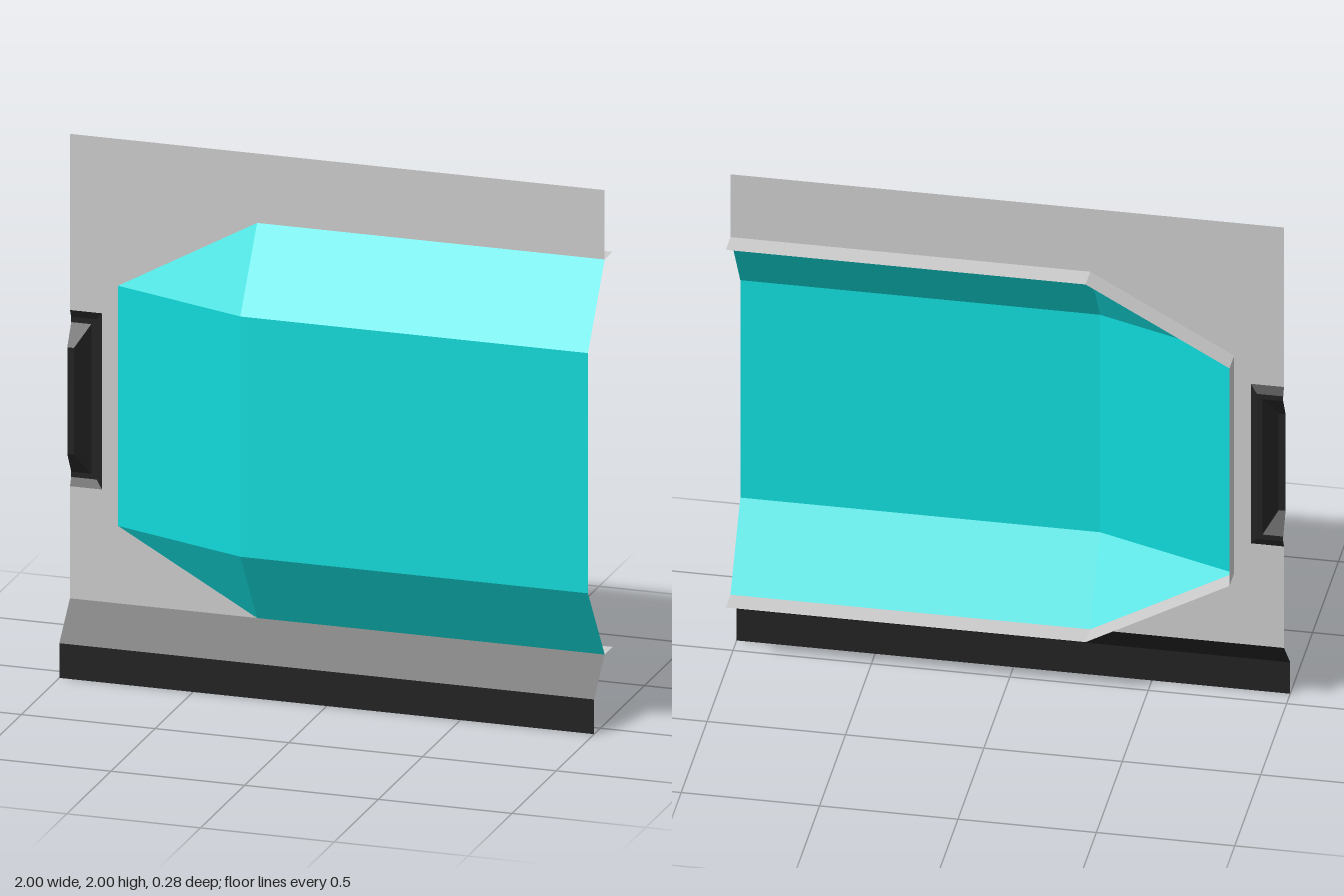
import * as THREE from 'three';

const Z = -0.05; // plane of the wall panel

const material = (color) =>
  new THREE.MeshStandardMaterial({ color, flatShading: true, side: THREE.DoubleSide });

const GREY = material(0xcccccc);
const TEAL = material(0x11dada);
const BLACK = material(0x222222);

// Mesh of flat convex faces, each a list of [x, y, z] corners
function facets(name, faces, mat) {
  const pos = [];
  for (const f of faces) {
    for (let i = 1; i < f.length - 1; i++) pos.push(...f[0], ...f[i], ...f[i + 1]);
  }
  const geo = new THREE.BufferGeometry();
  geo.setAttribute('position', new THREE.Float32BufferAttribute(pos, 3));
  geo.computeVertexNormals();
  const mesh = new THREE.Mesh(geo, mat);
  mesh.name = name;
  return mesh;
}

// Quads joining two rows of points
function strip(a, b) {
  const faces = [];
  for (let i = 0; i < a.length - 1; i++) faces.push([a[i], b[i], b[i + 1], a[i + 1]]);
  return faces;
}

export function createModel() {
  const group = new THREE.Group();

  // Outline of the window opening, open at the +x end
  const opening = [[1, 0.26], [-0.3, 0.26], [-0.82, 0.55], [-0.82, 1.45], [-0.3, 1.74], [1, 1.74]];

  // Thin wall panel, cut out around the window and the handle
  const outline = [
    ...opening.slice(1), [1, 2], [-1, 2], [-1, 1.34], [-0.88, 1.34],
    [-0.88, 0.68], [-1, 0.68], [-1, 0.26],
  ];
  const shape = new THREE.Shape(outline.map(([x, y]) => new THREE.Vector2(x, y)));
  const panel = new THREE.Mesh(new THREE.ShapeGeometry(shape), GREY);
  panel.name = 'wallPanel';
  panel.position.z = Z;
  group.add(panel);

  // Rim running back from the opening
  const at = (z) => opening.map(([x, y]) => [x, y, z]);
  group.add(facets('windowRim', strip(at(Z), at(-0.14)), GREY));

  // Faceted window bulging forward from the opening
  const base = at(Z);
  const low = [-0.3, 0.55, 0.14], high = [-0.3, 1.45, 0.14];
  const lowEnd = [1, 0.55, 0.14], highEnd = [1, 1.45, 0.14];
  group.add(facets('window', [
    [low, lowEnd, highEnd, high],
    [base[1], base[0], lowEnd, low],
    [base[2], base[1], low],
    [base[3], base[2], low, high],
    [base[4], base[3], high],
    [base[5], base[4], high, highEnd],
  ], TEAL));

  // Sloping sill with a vertical skirt
  const profile = [[0.26, Z], [0.13, 0.07], [0, 0.07]];
  const sillEnd = (x) => profile.map(([y, z]) => [x, y, z]);
  group.add(facets('sill', strip(sillEnd(-1), sillEnd(1)), BLACK));

  // Handle: half tray with a raised grip, as nested three-sided loops
  const loop = (x, halfHeight, z) => [
    [-1, 1.01 - halfHeight, z], [x, 1.01 - halfHeight, z],
    [x, 1.01 + halfHeight, z], [-1, 1.01 + halfHeight, z],
  ];
  const loops = [
    loop(-0.88, 0.33, Z),
    loop(-0.905, 0.3, -0.065),
    loop(-0.925, 0.28, -0.065),
    loop(-0.975, 0.2, -0.02),
  ];
  const faces = [loops[3]];
  for (let i = 0; i < 3; i++) faces.push(...strip(loops[i], loops[i + 1]));
  group.add(facets('handle', faces, BLACK));

  return group;
}
